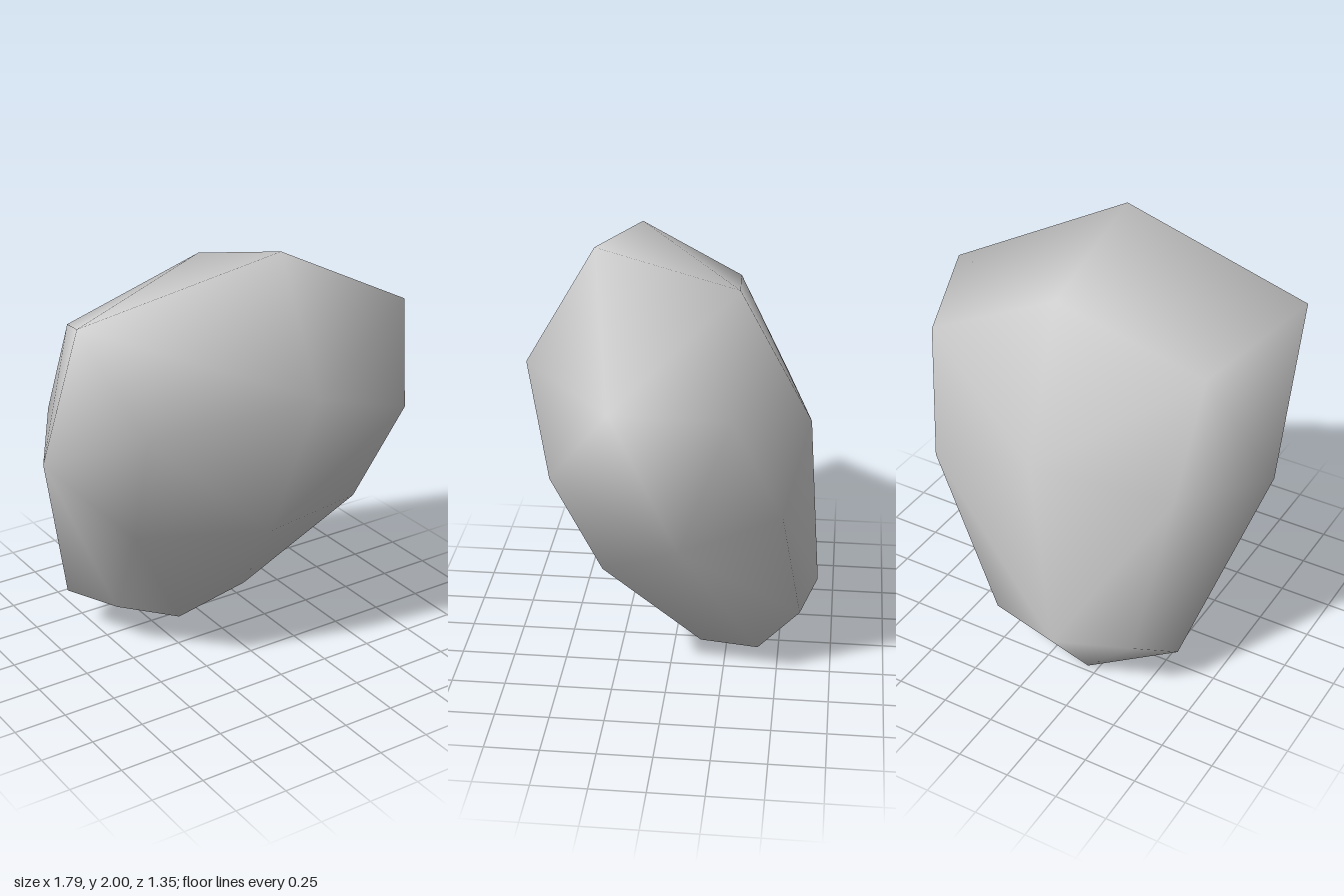
import * as THREE from 'three';

// Three rings around the stone (left side, middle, right side as seen in front).
// Each runs from the top front edge down the front, under, and up the back.
const RINGS = [
  [[-0.87, 1.81, 0.25], [-0.68, 1.34, 0.48], [-0.66, 0.82, 0.32], [-0.52, 0.23, -0.11],
   [-0.63, 0.22, -0.39], [-0.5, 0.33, -0.58], [-0.64, 1.14, -0.49], [-0.65, 1.63, -0.25]],
  [[0.07, 2, 0.35], [0.05, 1.44, 0.675], [-0.05, 0.75, 0.47], [-0.17, 0.06, -0.12],
   [-0.2, 0, -0.47], [-0.13, 0.28, -0.675], [0, 1.18, -0.62], [0.06, 1.82, -0.29]],
  [[0.89, 1.58, 0.19], [0.69, 1.18, 0.47], [0.565, 0.68, 0.27], [0.22, 0.12, -0.14],
   [0.26, 0.12, -0.41], [0.21, 0.29, -0.6], [0.57, 0.98, -0.52], [0.71, 1.49, -0.3]],
];
const CAPS = [[-0.9, 1.09, -0.05], [0.75, 0.88, -0.085]];

function stoneGeometry() {
  const points = [...RINGS.flat(), ...CAPS].map((p) => new THREE.Vector3(...p));
  const index = [];

  // Split each quad along its outward ridge so the stone stays convex
  const quad = (a, b, c, d) => {
    const [A, B, C, D] = [a, b, c, d].map((i) => points[i]);
    const normal = C.clone().sub(A).cross(D.clone().sub(B));
    const ridge = A.clone().add(C).sub(B).sub(D).dot(normal);
    if (ridge > 0) index.push(a, b, c, a, c, d);
    else index.push(a, b, d, b, c, d);
  };

  // Bands between neighbouring rings
  for (let r = 0; r < 2; r++) {
    for (let i = 0; i < 8; i++) {
      const j = (i + 1) % 8;
      quad(r * 8 + i, r * 8 + j, r * 8 + 8 + j, r * 8 + 8 + i);
    }
  }
  // Side caps: four quads around each centre
  for (let i = 1; i < 8; i += 2) {
    const j = (i + 1) % 8, k = (i + 2) % 8;
    quad(k, j, i, 24);
    quad(16 + i, 16 + j, 16 + k, 25);
  }

  const geometry = new THREE.BufferGeometry().setFromPoints(points);
  geometry.setIndex(index);
  geometry.computeVertexNormals();
  return geometry;
}

export function createModel() {
  const group = new THREE.Group();
  group.name = 'rock';
  const stone = new THREE.MeshStandardMaterial({ color: 0xcccccc });
  stone.name = 'pale grey stone';
  const boulder = new THREE.Mesh(stoneGeometry(), stone);
  boulder.name = 'boulder';
  group.add(boulder);
  return group;
}
